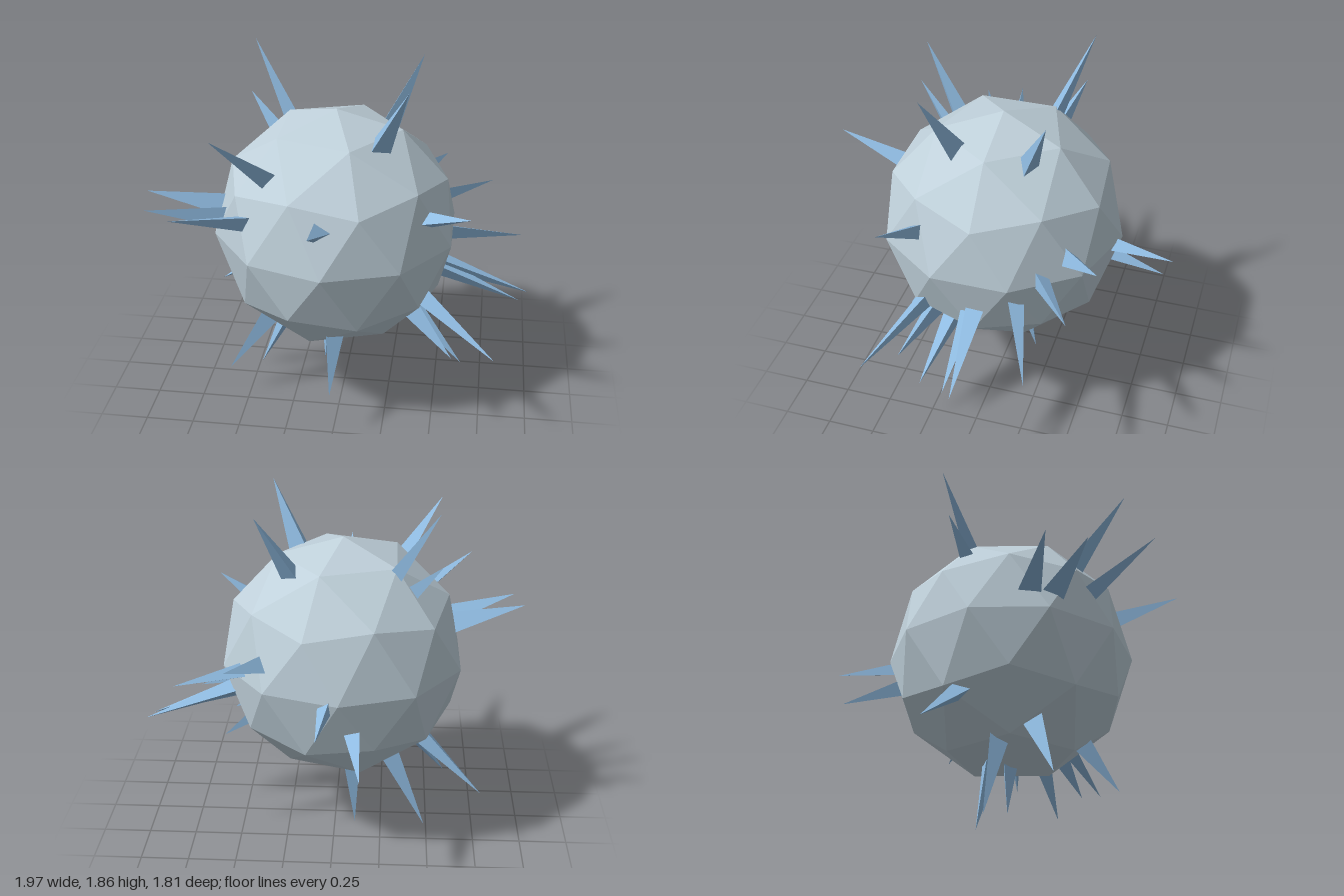
import * as THREE from 'three';

const CENTER = new THREE.Vector3(-0.04, 0.995, 0.007);
const RADIUS = 0.636;
const SPIKE_BASE = 0.58; // distance of each spike's base from the centre

// Spike tips: x, y, z, base radius
const SPIKES = [
  // upper
  [-0.51, 1.867, -0.34, 0.045], [0.34, 1.84, 0.31, 0.066], [0.373, 1.824, -0.315, 0.058],
  [-0.555, 1.668, 0.595, 0.055], [-0.533, 1.59, -0.3, 0.045],
  // front and right
  [-0.055, 1.355, 0.9, 0.055], [-0.74, 1.312, 0.714, 0.05], [-0.993, 1.205, 0.182, 0.068],
  [-0.955, 1.19, 0.38, 0.068], [0.661, 1.265, 0.433, 0.05],
  // left and back
  [0.763, 1.04, -0.532, 0.05], [0.505, 1.154, -0.615, 0.058], [0.94, 0.785, -0.382, 0.053],
  [0.978, 0.629, -0.027, 0.055], [0.93, 0.608, 0.027, 0.052],
  [-0.152, 0.708, -0.845, 0.05], [0.05, 0.961, -0.912, 0.045],
  // lower
  [0.812, 0.53, 0.51, 0.053], [0.597, 0.452, 0.392, 0.058], [0.645, 0.341, 0.258, 0.058],
  [-0.01, 0.278, 0.552, 0.062], [-0.6, 0.176, 0.209, 0.063], [-0.763, 0.39, -0.387, 0.055],
  [-0.11, 0.137, -0.01, 0.05], [-0.49, 0.012, -0.114, 0.062], [-0.112, 0.056, -0.164, 0.055],
];

export function createModel() {
  const model = new THREE.Group();
  model.name = 'spikyBall';
  const bodyMaterial = new THREE.MeshStandardMaterial({ color: 0xbfd0da, flatShading: true });
  const spikeMaterial = new THREE.MeshStandardMaterial({ color: 0x90bce2, flatShading: true });

  // Faceted ball, turned so that a corner points straight up
  const ball = new THREE.IcosahedronGeometry(RADIUS, 1);
  ball.rotateX(-Math.atan((1 + Math.sqrt(5)) / 2));
  ball.rotateY(Math.PI / 2);
  const body = new THREE.Mesh(ball, bodyMaterial);
  body.name = 'body';
  body.position.copy(CENTER);
  model.add(body);

  // Three-sided spikes pointing away from the centre
  const spikes = new THREE.Group();
  spikes.name = 'spikes';
  const up = new THREE.Vector3(0, 1, 0);
  SPIKES.forEach(([x, y, z, r], i) => {
    const dir = new THREE.Vector3(x, y, z).sub(CENTER);
    const reach = dir.length();
    dir.normalize();
    const length = reach - SPIKE_BASE;
    const geometry = new THREE.ConeGeometry(r, length, 3);
    geometry.rotateY(Math.PI / 2);
    const spike = new THREE.Mesh(geometry, spikeMaterial);
    spike.name = `spike${i + 1}`;
    spike.quaternion.setFromUnitVectors(up, dir);
    spike.position.copy(CENTER).addScaledVector(dir, SPIKE_BASE + length / 2);
    spikes.add(spike);
  });
  model.add(spikes);
  return model;
}
